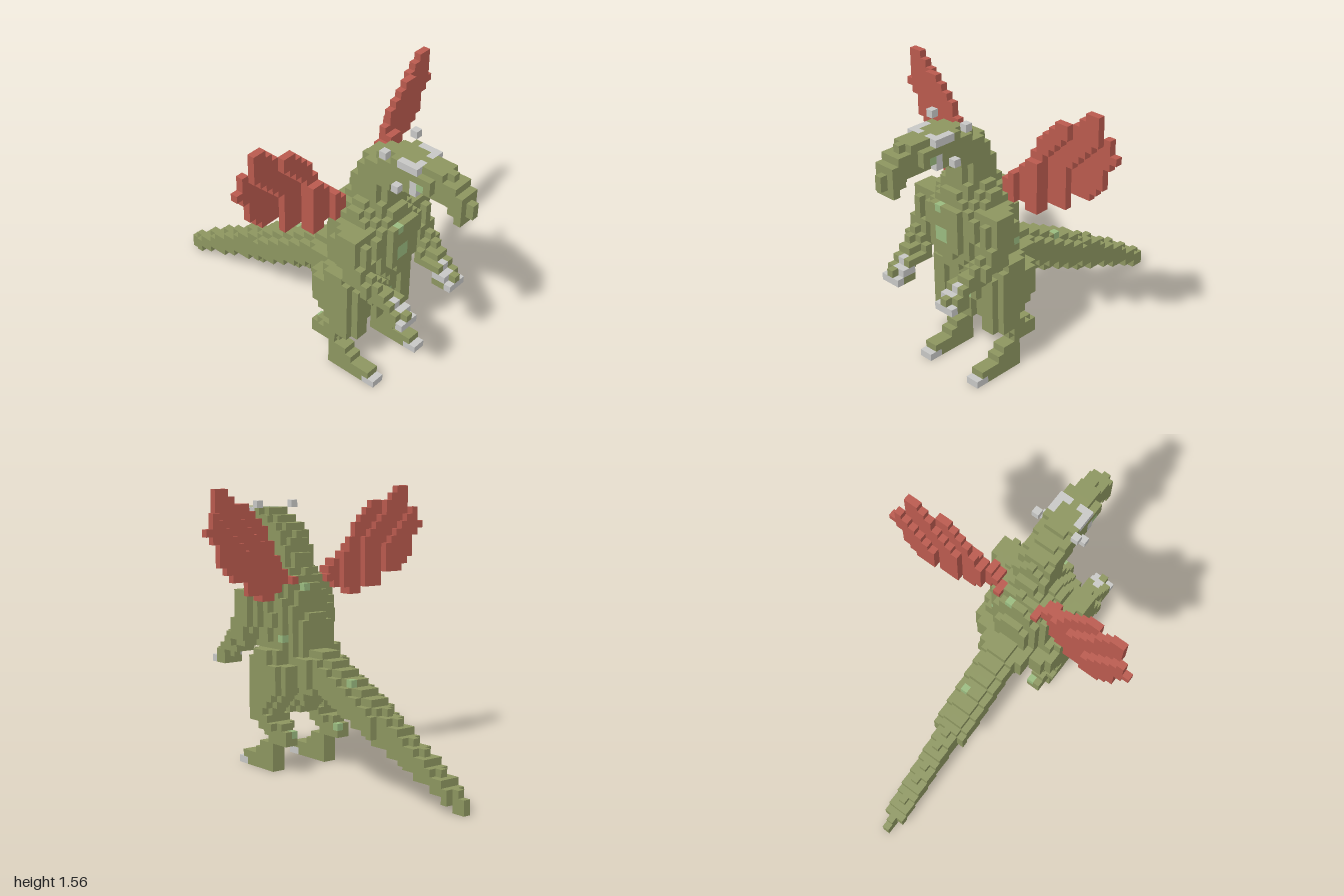
import * as THREE from 'three';

const U = 0.04; // block size

const makeMaterial = (name, color) => {
  const m = new THREE.MeshStandardMaterial({ color });
  m.name = name;
  return m;
};

export function createModel() {
  const materials = {
    scales: makeMaterial('olive scales', 0x8d9660),
    wing: makeMaterial('red wing', 0xba5a4e),
    claw: makeMaterial('grey claw', 0xc8c8c6),
    patch: makeMaterial('pale green patch', 0x9abb80),
  };
  const blocks = new Map(); // "x,y,z" -> { part, color }
  const key = (x, y, z) => `${x},${y},${z}`;
  const put = (part, color, x, y, z) => blocks.set(key(x, y, z), { part, color });
  const putPair = (part, color, x, y, z) => {
    put('left ' + part, color, x, y, z);
    put('right ' + part, color, -x, y, z);
  };

  // Fills rounded cross-sections along y or z.
  // Each sample: [position, low, high, half width, centre x]
  function sweep(part, axis, samples, power, paired = false) {
    const first = samples[0][0], last = samples[samples.length - 1][0];
    for (let i = -25; i < 40; i++) {
      const t = (i + 0.5) * U;
      if (t < first || t > last) continue;
      let k = 0;
      while (k < samples.length - 2 && samples[k + 1][0] < t) k++;
      const a = samples[k], b = samples[k + 1], f = (t - a[0]) / (b[0] - a[0]);
      const at = n => THREE.MathUtils.lerp(a[n] ?? 0, b[n] ?? 0, f);
      const mid = (at(1) + at(2)) / 2, half = (at(2) - at(1)) / 2;
      for (let x = -8; x <= 8; x++) for (let j = -25; j < 40; j++) {
        const dx = Math.abs(x * U - at(4)) / at(3);
        const dj = Math.abs((j + 0.5) * U - mid) / half;
        if (dx ** power + dj ** power > 1) continue;
        const y = axis === 'y' ? i : j, z = axis === 'y' ? j : i;
        if (paired) putPair(part, 'scales', x, y, z);
        else put(part, 'scales', x, y, z);
      }
    }
  }

  // Tail, tapering back to the ground
  sweep('tail', 'z', [
    [-1, 0, 0.08, 0.03], [-0.925, 0, 0.12, 0.03], [-0.915, 0.035, 0.13, 0.065],
    [-0.41, 0.23, 0.44, 0.065], [-0.39, 0.24, 0.445, 0.1], [0.07, 0.44, 0.68, 0.1],
    [0.09, 0.44, 0.68, 0.14], [0.22, 0.42, 0.68, 0.15],
  ], 2);

  // Thighs, shins and feet
  sweep('leg', 'y', [
    [0, 0.28, 0.6, 0.05, 0.18], [0.03, 0.28, 0.6, 0.05, 0.18], [0.06, 0.28, 0.56, 0.05, 0.18],
    [0.1, 0.28, 0.44, 0.05, 0.18], [0.14, 0.26, 0.4, 0.05, 0.18], [0.18, 0.16, 0.33, 0.05, 0.18],
    [0.22, 0.16, 0.36, 0.05, 0.18], [0.26, 0.19, 0.41, 0.08, 0.18], [0.3, 0.26, 0.48, 0.08, 0.18],
    [0.34, 0.27, 0.49, 0.08, 0.18], [0.38, 0.23, 0.49, 0.085, 0.18], [0.42, 0.19, 0.49, 0.09, 0.18],
    [0.5, 0.15, 0.49, 0.09, 0.18], [0.58, 0.16, 0.48, 0.085, 0.18], [0.62, 0.24, 0.46, 0.08, 0.18],
    [0.68, 0.26, 0.44, 0.08, 0.18],
  ], 2, true);

  // Torso and belly
  sweep('body', 'y', [
    [0.32, 0.27, 0.47, 0.11], [0.36, 0.22, 0.47, 0.11], [0.44, 0.12, 0.49, 0.15],
    [0.58, 0.12, 0.5, 0.17], [0.66, 0.14, 0.55, 0.18], [0.72, 0.15, 0.59, 0.2],
    [0.84, 0.16, 0.61, 0.22], [0.96, 0.2, 0.61, 0.22], [1.0, 0.2, 0.58, 0.21],
    [1.04, 0.22, 0.56, 0.18], [1.08, 0.24, 0.53, 0.15],
  ], 2);

  // Neck, curving forward into the head
  sweep('neck', 'y', [
    [1.08, 0.25, 0.53, 0.13], [1.14, 0.27, 0.53, 0.11], [1.22, 0.3, 0.53, 0.11],
    [1.26, 0.32, 0.6, 0.11], [1.34, 0.36, 0.64, 0.11], [1.38, 0.43, 0.7, 0.11],
    [1.41, 0.5, 0.7, 0.11], [1.43, 0.56, 0.7, 0.11],
  ], 2.2);

  // Broad skull, then a rounded muzzle with a hooked snout
  sweep('head', 'z', [[0.56, 1.26, 1.44, 0.11], [0.72, 1.28, 1.44, 0.11]], 5);
  sweep('muzzle', 'z', [
    [0.72, 1.28, 1.44, 0.11], [0.79, 1.28, 1.44, 0.11], [0.81, 1.28, 1.44, 0.07],
    [0.86, 1.25, 1.42, 0.07], [0.9, 1.24, 1.4, 0.07], [0.94, 1.2, 1.36, 0.07],
    [0.955, 1.22, 1.34, 0.07], [0.965, 1.24, 1.32, 0.03], [1, 1.24, 1.32, 0.03],
  ], 2);

  // Arms reaching forward
  sweep('arm', 'y', [
    [0.56, 0.68, 0.8, 0.07, 0.2], [0.58, 0.68, 0.8, 0.07, 0.2], [0.62, 0.64, 0.8, 0.055, 0.2],
    [0.66, 0.56, 0.73, 0.07, 0.2], [0.7, 0.48, 0.68, 0.065, 0.22], [0.74, 0.42, 0.62, 0.06, 0.24],
    [0.82, 0.38, 0.57, 0.06, 0.24], [0.9, 0.35, 0.56, 0.055, 0.24], [1.0, 0.36, 0.53, 0.055, 0.24],
  ], 2, true);

  // Wings: first and last block of each row, from the bottom row up
  const wingRows = [
    [7, 8], [5, 11], [4, 11], [4, 14], [5, 15], [6, 16], [7, 16], [7, 16],
    [8, 17], [8, 18], [9, 17], [10, 17], [11, 16], [14, 16], [15, 16],
  ];
  wingRows.forEach(([from, to], row) => {
    for (let x = from; x <= to; x++) {
      const across = x - 0.9 * (row - 2); // stepped bands run along the wing
      let z = across < 4 ? 5 : across < 8.4 ? 4 : 3;
      if (x < 12) z = Math.max(z, 4);
      const root = x <= 8 && row <= 6;
      if (root) z = x <= 5 ? 7 : 6;
      putPair('wing', 'wing', x, 24 + row, z);
      if (root) putPair('wing', 'wing', x, 24 + row, z - 1);
    }
  });
  putPair('wing', 'wing', 3, 26, 6);
  putPair('wing', 'wing', 3, 26, 5);

  // Claws on feet and hands
  for (const x of [4, 5]) for (const z of [13, 14]) putPair('foot claws', 'claw', x, 0, z);
  for (const x of [4, 5, 6]) putPair('hand claws', 'claw', x, 14, 19);
  for (const [x, y, z] of [[4, 15, 17], [4, 15, 18], [5, 15, 18], [5, 16, 17]]) putPair('hand claws', 'claw', x, y, z);

  // Brow, cheek spikes and horn tips
  for (const z of [15, 16, 17]) putPair('brow', 'claw', 2, 35, z);
  putPair('brow', 'claw', 1, 35, 17);
  for (const [x, y, z] of [[2, 32, 17], [2, 33, 17], [2, 32, 15], [3, 32, 15]]) putPair('cheek spikes', 'claw', x, y, z);
  putPair('horn tip', 'claw', 3, 36, 13);

  // Pale patches: recolour the first block met along a line from outside
  function patch(start, step) {
    const p = [...start];
    for (let n = 0; n < 60; n++) {
      const b = blocks.get(key(...p));
      if (b) {
        if (b.color === 'scales') b.color = 'patch';
        return;
      }
      p.forEach((_, i) => { p[i] += step[i]; });
    }
  }
  for (const [x, y] of [[0, 20], [0, 21], [-1, 20], [-1, 21], [-1, 24], [1, 11]]) patch([x, y, 24], [0, 0, -1]);
  for (const [y, z] of [[33, 18], [18, 6], [13, -5]]) patch([12, y, z], [-1, 0, 0]);
  patch([-12, 33, 18], [1, 0, 0]);
  for (const x of [-4, 4]) patch([x, 5, -10], [0, 0, 1]);
  for (const [x, z] of [[1, -5], [1, 5]]) patch([x, 40, z], [0, -1, 0]);

  // Exposed block faces: outward normal and two edge directions (u x v = n)
  const sides = [
    [[1, 0, 0], [0, 1, 0], [0, 0, 1]], [[-1, 0, 0], [0, 0, 1], [0, 1, 0]],
    [[0, 1, 0], [0, 0, 1], [1, 0, 0]], [[0, -1, 0], [1, 0, 0], [0, 0, 1]],
    [[0, 0, 1], [1, 0, 0], [0, 1, 0]], [[0, 0, -1], [0, 1, 0], [1, 0, 0]],
  ];
  const corners = [[-1, -1], [1, -1], [1, 1], [-1, -1], [1, 1], [-1, 1]];
  const parts = {};
  for (const [k, { part, color }] of blocks) {
    const [x, y, z] = k.split(',').map(Number);
    const centre = [x * U, (y + 0.5) * U, (z + 0.5) * U];
    for (const [n, u, v] of sides) {
      if (blocks.has(key(x + n[0], y + n[1], z + n[2]))) continue;
      const out = ((parts[part] ??= {})[color] ??= { position: [], normal: [] });
      for (const [a, b] of corners) {
        for (let i = 0; i < 3; i++) out.position.push(centre[i] + (n[i] + a * u[i] + b * v[i]) * U / 2);
        out.normal.push(...n);
      }
    }
  }

  const model = new THREE.Group();
  model.name = 'winged dragon';
  for (const [part, colors] of Object.entries(parts)) {
    const group = new THREE.Group();
    group.name = part;
    for (const [color, data] of Object.entries(colors)) {
      const geometry = new THREE.BufferGeometry();
      for (const name of ['position', 'normal']) {
        geometry.setAttribute(name, new THREE.Float32BufferAttribute(data[name], 3));
      }
      const mesh = new THREE.Mesh(geometry, materials[color]);
      mesh.name = color === 'patch' ? part + ' patch' : part;
      group.add(mesh);
    }
    model.add(group);
  }
  return model;
}
